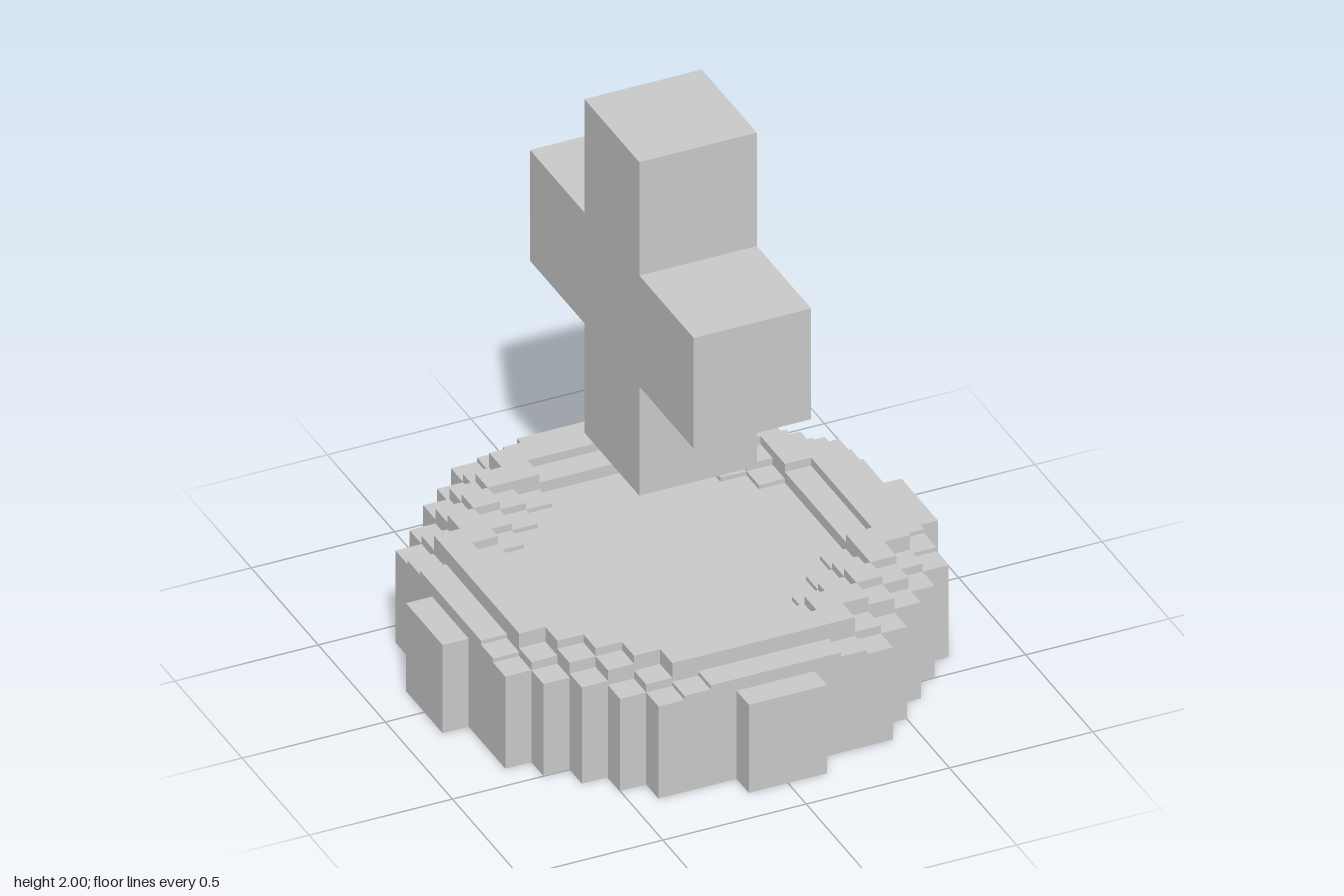
import * as THREE from 'three';

const CELL = 1.728 / 19;
const HALF = 9;
const OUTLINE = [9, 9, 8, 8, 8, 7, 6, 5, 4, 1]; // widest cell in each row, from the middle out
const STEPS = [ // [outer radius in cells, height]
  [5.4, 0.36], [5.9, 0.375], [6.6, 0.4], [7.65, 0.43], [7.9, 0.4],
  [8.3, 0.375], [8.55, 0.36], [8.97, 0.345], [10, 0.33],
];

// Height of a cell; zero outside the stepped disc
function height(i, k) {
  const a = Math.abs(i), b = Math.abs(k);
  if (b > HALF || a > OUTLINE[b]) return 0;
  const r = Math.hypot(a, b);
  return STEPS.find(([limit]) => r < limit)[1];
}

// Hollow stepped shell: a flat top per cell and a riser wherever a neighbour is lower
function shellGeometry() {
  const pos = [];
  const quad = (a, b, c, d) => pos.push(...a, ...b, ...c, ...a, ...c, ...d);
  const h = CELL / 2;
  for (let i = -HALF; i <= HALF; i++) {
    for (let k = -HALF; k <= HALF; k++) {
      const y = height(i, k);
      if (!y) continue;
      const x = i * CELL, z = k * CELL;
      quad([x - h, y, z - h], [x - h, y, z + h], [x + h, y, z + h], [x + h, y, z - h]);
      for (const [dx, dz] of [[1, 0], [-1, 0], [0, 1], [0, -1]]) {
        const low = height(i + dx, k + dz);
        if (low >= y) continue;
        const cx = x + dx * h, cz = z + dz * h; // middle of the shared edge
        const tx = dz * h, tz = -dx * h; // along the edge
        quad([cx - tx, low, cz - tz], [cx + tx, low, cz + tz],
          [cx + tx, y, cz + tz], [cx - tx, y, cz - tz]);
      }
    }
  }
  const g = new THREE.BufferGeometry();
  g.setAttribute('position', new THREE.Float32BufferAttribute(pos, 3));
  g.computeVertexNormals();
  return g;
}

// Plus-shaped block, with its arms reaching to the front and back
function crossGeometry() {
  const w = 0.205, arm = 0.61, y0 = 0.75, y1 = 1.16, y2 = 1.575, y3 = 2;
  const outline = [
    [-w, y0], [w, y0], [w, y1], [arm, y1], [arm, y2], [w, y2],
    [w, y3], [-w, y3], [-w, y2], [-arm, y2], [-arm, y1], [-w, y1],
  ].map(([x, y]) => new THREE.Vector2(x, y));
  const g = new THREE.ExtrudeGeometry(new THREE.Shape(outline), { depth: 2 * w, bevelEnabled: false });
  g.translate(0, 0, -w);
  g.rotateY(Math.PI / 2);
  g.translate(-0.003, 0, -0.004);
  return g;
}

export function createModel() {
  const group = new THREE.Group();
  const add = (name, geometry, side) => {
    const mesh = new THREE.Mesh(geometry,
      new THREE.MeshStandardMaterial({ color: 0xcccccc, flatShading: true, side }));
    mesh.name = name;
    group.add(mesh);
  };
  add('steppedBase', shellGeometry(), THREE.DoubleSide);
  add('floatingCross', crossGeometry(), THREE.FrontSide);
  return group;
}
